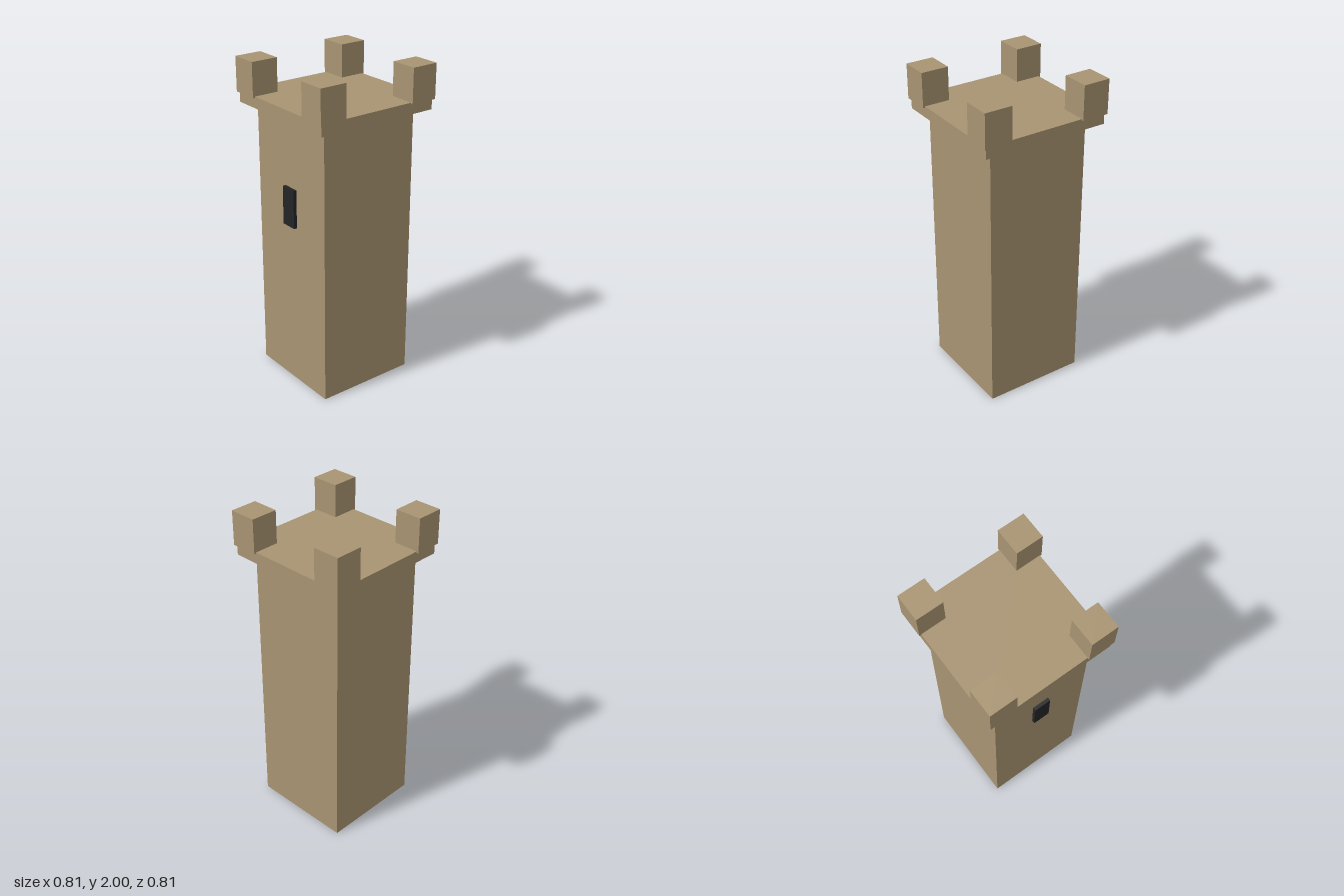
import * as THREE from 'three';

export function createModel() {
  const stone = new THREE.MeshStandardMaterial({ color: 0xa89472 });
  stone.name = 'stone';
  const dark = new THREE.MeshStandardMaterial({ color: 0x222426 });
  dark.name = 'darkOpening';

  const tower = new THREE.Group();
  tower.name = 'tower';

  // Box given by its size and the height of its underside
  function box(name, material, [w, h, d], x, bottom, z) {
    const mesh = new THREE.Mesh(new THREE.BoxGeometry(w, h, d), material);
    mesh.name = name;
    mesh.position.set(x, bottom + h / 2, z);
    tower.add(mesh);
  }

  // Shaft and overhanging roof slab
  box('shaft', stone, [0.642, 1.726, 0.642], 0, 0, 0);
  box('roofSlab', stone, [0.79, 0.07, 0.79], 0, 1.726, 0);

  // Corner merlons, slightly proud of the slab
  for (const [side, sx] of [['Left', 1], ['Right', -1]]) {
    for (const [end, sz] of [['front', 1], ['back', -1]]) {
      box(`${end}${side}Merlon`, stone, [0.171, 0.212, 0.171], sx * 0.322, 1.788, sz * 0.322);
    }
  }

  // Window panel on the front wall
  box('window', dark, [0.106, 0.24, 0.022], 0, 1.052, 0.331);

  return tower;
}
